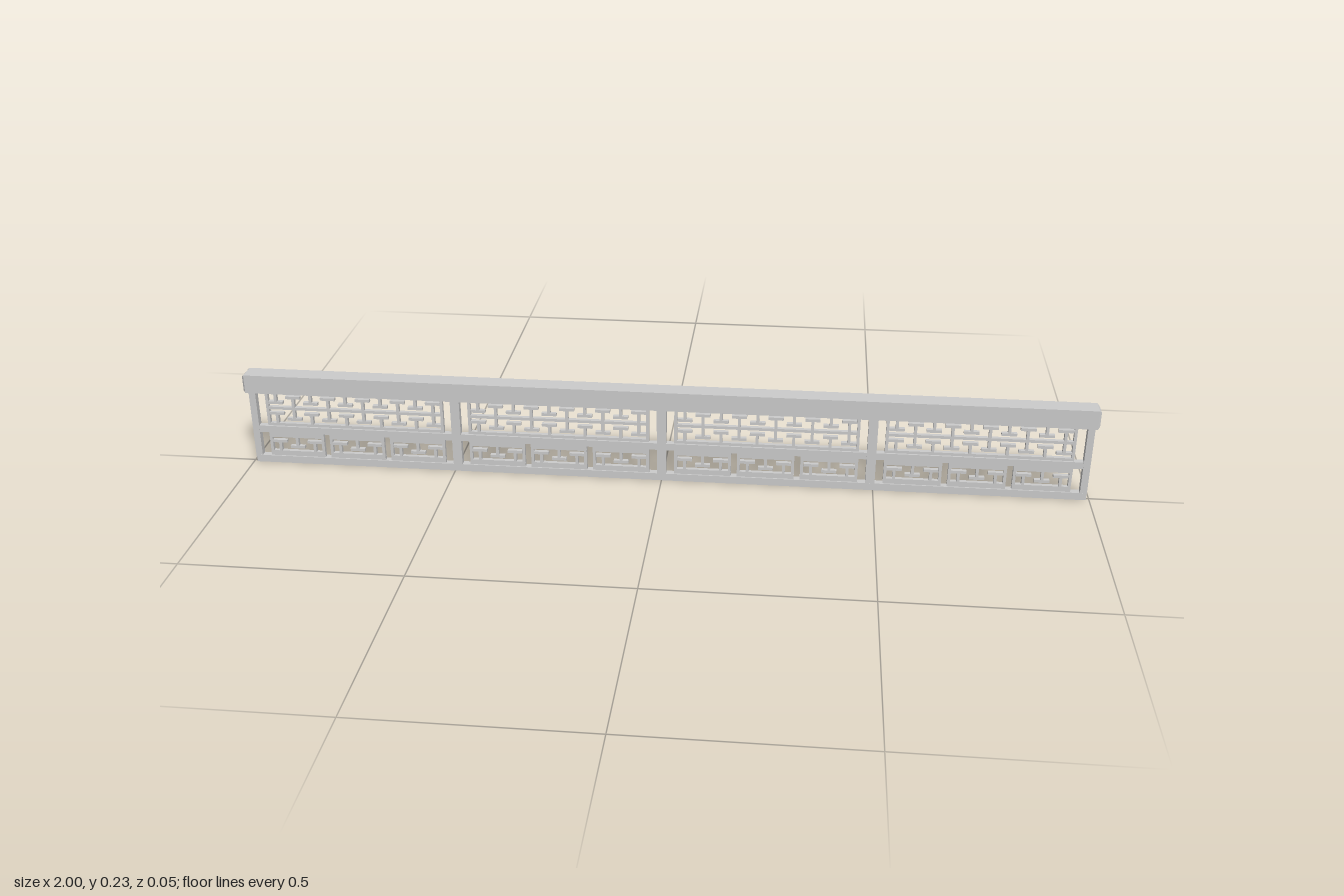
import * as THREE from 'three';
import { mergeGeometries } from 'three/addons/utils/BufferGeometryUtils.js';

const material = new THREE.MeshStandardMaterial({ color: 0xcccccc, flatShading: true });
const BAY = 0.4925;    // spacing between post centres
const STEP = 0.0142;   // fret grid step
const BAR = 0.0068;    // fret bar width
const DEPTH = 0.010;   // fret thickness

function bar(x0, x1, y0, y1, depth) {
  return new THREE.BoxGeometry(x1 - x0, y1 - y0, depth)
    .translate((x0 + x1) / 2, (y0 + y1) / 2, 0);
}

// Square bar with chamfered edges, running along x and centred on x = 0
function chamferedBar(length, height, depth, c) {
  const h = height / 2 - c, d = depth / 2 - c;
  const s = new THREE.Shape([[-d, -h], [d, -h], [d, h], [-d, h]].map(p => new THREE.Vector2(...p)));
  const g = new THREE.ExtrudeGeometry(s, {
    depth: length - 2 * c, bevelEnabled: true, bevelSize: c, bevelThickness: c, bevelSegments: 1,
  });
  return g.translate(0, 0, -length / 2 + c).rotateY(Math.PI / 2);
}

// Interlocking T-shaped key fret, centred on x = 0, starting at y = 0
function fretGeometry(cells, rows) {
  const parts = [], t = BAR / 2, half = cells * 1.5;
  const seg = (x0, y0, x1, y1) => parts.push(bar(
    (x0 - half) * STEP - t, (x1 - half) * STEP + t, y0 * STEP - t, y1 * STEP + t, DEPTH));
  for (let r = 0; r <= rows; r++) seg(0, r * 3, cells * 3, r * 3);
  seg(0, 0, 0, rows * 3);
  seg(cells * 3, 0, cells * 3, rows * 3);
  for (let r = 0; r < rows; r++) {
    for (let c = 0; c < cells; c++) {
      const x = c * 3 + 1.5, y = r * 3, up = (r + c) % 2 === 0;
      if (up) seg(x, y, x, y + 2);
      else seg(x, y + 1, x, y + 3);
      const cap = up ? y + 2 : y + 1;
      seg(x - 1, cap, x + 1, cap);
    }
  }
  return mergeGeometries(parts);
}

export function createModel() {
  const model = new THREE.Group();
  const add = (name, geometry, x = 0, y = 0, parent = model) => {
    const mesh = new THREE.Mesh(geometry, material);
    mesh.name = name;
    mesh.position.set(x, y, 0);
    parent.add(mesh);
  };

  // Long horizontal rails
  add('handrail', chamferedBar(2, 0.046, 0.046, 0.005), 0, 0.212);
  add('bottomRail', chamferedBar(1.986, 0.018, 0.017, 0.002), 0, 0.009);
  add('middleRail', bar(-0.985, 0.985, 0.08, 0.097, 0.015));

  // Posts, narrower at the two ends
  for (let i = -2; i <= 2; i++) {
    const w = Math.abs(i) === 2 ? 0.016 : 0.022;
    add('post', bar(-w / 2, w / 2, 0.012, 0.195, 0.0165), i * BAY);
  }

  // Four bays: one long fret above, three short framed frets below
  const upperFret = fretGeometry(10, 2);
  const lowerFret = mergeGeometries([
    fretGeometry(3, 1).translate(0, 0.0275, 0),
    bar(-0.0675, 0.0675, 0.015, 0.0275, DEPTH),
    bar(-0.0675, 0.0675, 0.0701, 0.083, DEPTH),
  ]);
  for (let i = 0; i < 4; i++) {
    const bay = new THREE.Group();
    bay.name = 'latticeBay';
    bay.position.x = (i - 1.5) * BAY;
    model.add(bay);
    add('upperFretPanel', upperFret, 0, 0.1015, bay);
    for (const k of [-1, 0, 1]) add('lowerFretPanel', lowerFret, k * 0.149, 0, bay);
  }
  return model;
}
